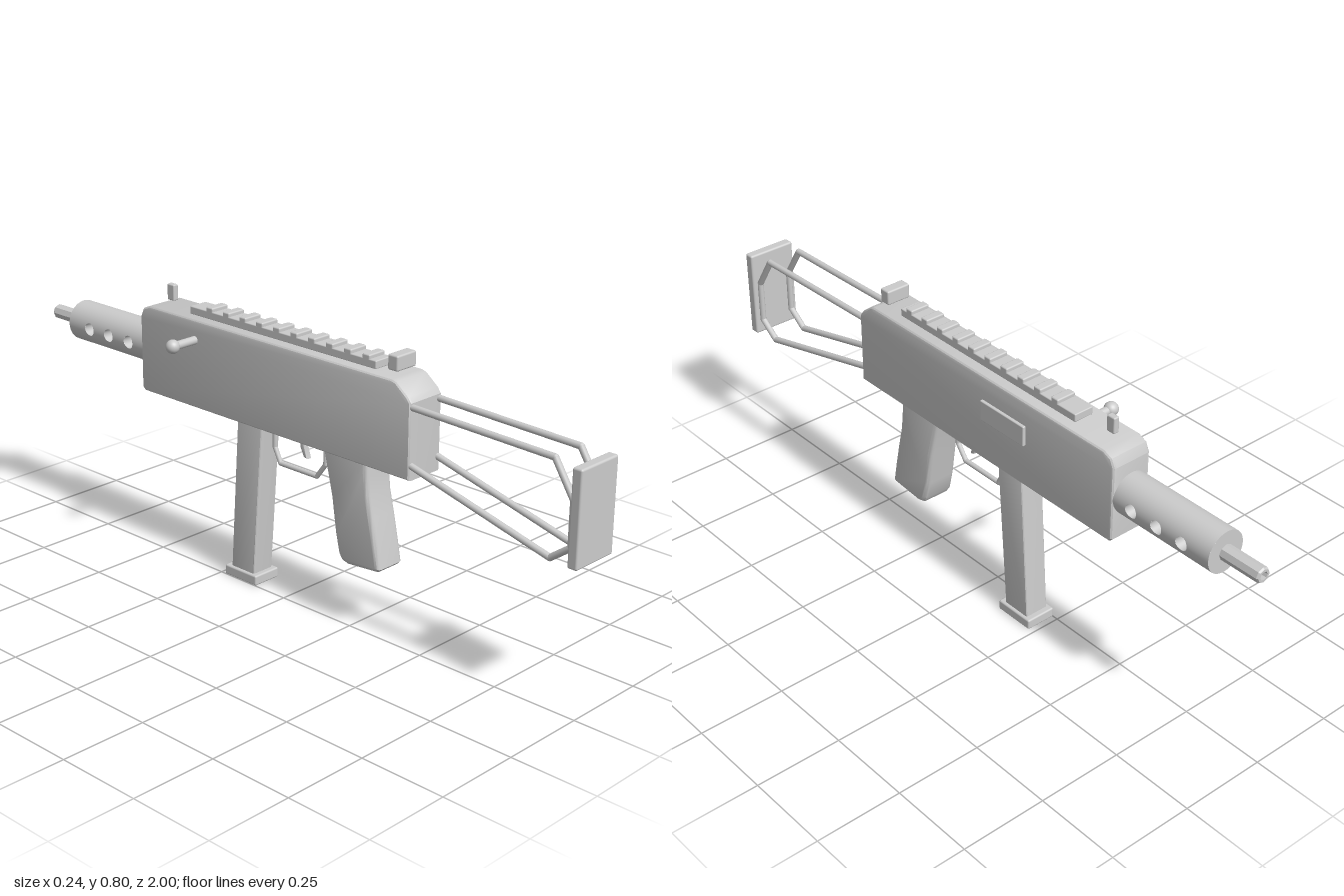
import * as THREE from 'three';
import { toCreasedNormals } from 'three/addons/utils/BufferGeometryUtils.js';
import { RoundedBoxGeometry } from 'three/addons/geometries/RoundedBoxGeometry.js';
import { ParametricGeometry } from 'three/addons/geometries/ParametricGeometry.js';

const CX = 0.045; // centre plane of the gun
const AXIS = 0.614; // height of the bore
const grey = new THREE.MeshStandardMaterial({ color: 0xcccccc });
grey.name = 'grey';

function part(parent, name, geometry, x = 0, y = 0, z = 0) {
  const mesh = new THREE.Mesh(geometry, grey);
  mesh.name = name;
  mesh.position.set(x, y, z);
  parent.add(mesh);
  return mesh;
}

function group(parent, name) {
  const g = new THREE.Group();
  g.name = name;
  parent.add(g);
  return g;
}

// Side profile of [z, y] points, extruded across x with bevelled edges
function slab(points, width, bevel, crease = 0.5) {
  const shape = new THREE.Shape(points.map(([z, y]) => new THREE.Vector2(-z, y)));
  const geo = new THREE.ExtrudeGeometry(shape, {
    depth: width - 2 * bevel, bevelThickness: bevel, bevelSize: bevel,
    bevelOffset: -bevel, bevelSegments: 3, bevelEnabled: bevel > 0,
  });
  geo.translate(0, 0, bevel - width / 2);
  geo.rotateY(Math.PI / 2);
  return toCreasedNormals(geo, crease);
}

// Box given by its y and z limits, centred on the gun
function block(parent, name, width, y0, y1, z0, z1, radius) {
  const geo = new RoundedBoxGeometry(width, y1 - y0, z1 - z0, 2, radius);
  return part(parent, name, geo, CX, (y0 + y1) / 2, (z0 + z1) / 2);
}

// Bent rod through [z, y] points at one x
function rod(parent, name, points, x, r) {
  const g = group(parent, name);
  const v = points.map(([z, y]) => new THREE.Vector3(x, y, z));
  for (let i = 0; i < v.length - 1; i++) {
    const dir = v[i + 1].clone().sub(v[i]);
    const mid = v[i].clone().add(v[i + 1]).multiplyScalar(0.5);
    const m = part(g, name + 'Segment', new THREE.CylinderGeometry(r, r, dir.length(), 10), mid.x, mid.y, mid.z);
    m.quaternion.setFromUnitVectors(new THREE.Vector3(0, 1, 0), dir.normalize());
    if (i > 0) part(g, name + 'Bend', new THREE.SphereGeometry(r, 10, 8), v[i].x, v[i].y, v[i].z);
  }
}

// Round shroud with cross holes running right through it
function shroud(parent) {
  const R = 0.059, S = 0.038, HOLE = 0.019;
  const bounds = [-0.54, -0.658, -0.743, -0.877];
  const holes = [-0.615, -0.702, -0.787];
  const g = group(parent, 'barrelShroud');
  g.position.set(CX, AXIS, 0);
  const length = bounds[0] - bounds[3], mid = (bounds[0] + bounds[3]) / 2;

  // Plain top and bottom arcs
  const t = Math.PI / 2 - Math.asin(S / R);
  for (const start of [-t, Math.PI - t]) {
    const arc = new THREE.CylinderGeometry(R, R, length, 16, 1, true, start, 2 * t);
    part(g, 'shroudArc', arc.rotateX(-Math.PI / 2), 0, 0, mid);
  }
  part(g, 'shroudRearCap', new THREE.CircleGeometry(R, 40), 0, 0, bounds[0]);
  part(g, 'shroudFrontCap', new THREE.CircleGeometry(R, 40).rotateY(Math.PI), 0, 0, bounds[3]);

  holes.forEach((hz, i) => {
    const z0 = bounds[i], z1 = bounds[i + 1];
    const corners = [[z0, -S], [z1, -S], [z1, S], [z0, S], [z0, -S]];
    for (const side of [1, -1]) {
      // Curved panel stretched from a rectangle to the rim of the hole
      const panel = new ParametricGeometry((u, v, out) => {
        const w = (side > 0 ? u : 1 - u) * 4;
        const k = Math.min(3, Math.max(0, Math.floor(w + 1e-9)));
        const f = w - k, a = corners[k], b = corners[k + 1];
        const z = a[0] + (b[0] - a[0]) * f, y = a[1] + (b[1] - a[1]) * f;
        const d = Math.hypot(z - hz, y);
        const pz = z + (hz + (z - hz) / d * HOLE - z) * v;
        const py = y + (y / d * HOLE - y) * v;
        out.set(side * Math.sqrt(R * R - py * py), py, pz);
      }, 40, 6);
      const p = panel.attributes.position, n = panel.attributes.normal;
      for (let j = 0; j < p.count; j++) n.setXYZ(j, p.getX(j) / R, p.getY(j) / R, 0);
      part(g, 'shroudPanel', panel);
    }
    // Wall of the hole, facing inwards
    part(g, 'ventHole', new ParametricGeometry((u, v, out) => {
      const a = u * Math.PI * 2, y = HOLE * Math.sin(a);
      out.set((1 - 2 * v) * Math.sqrt(R * R - y * y), y, hz - HOLE * Math.cos(a));
    }, 32, 1));
  });
}

export function createModel() {
  const model = new THREE.Group();
  model.name = 'submachineGun';

  // Receiver
  part(model, 'receiver', slab([
    [0.461, 0.485], [0.461, 0.695], [0.45, 0.71], [0.41, 0.741], [0.395, 0.745],
    [-0.515, 0.745], [-0.543, 0.733], [-0.555, 0.708], [-0.555, 0.495], [-0.545, 0.485],
  ], 0.125, 0.01), CX);
  part(model, 'ejectionPort', new RoundedBoxGeometry(0.02, 0.06, 0.17, 2, 0.003), 0.106, 0.643, -0.147);

  // Barrel and its vented shroud
  shroud(model);
  const bore = [[0.022, 0], [0.022, 0.12], [0.019, 0.125], [0.012, 0.125], [0.012, 0.07], [0, 0.07]];
  const barrel = new THREE.LatheGeometry(bore.map(([x, y]) => new THREE.Vector2(x, y)), 8);
  part(model, 'barrel', toCreasedNormals(barrel.rotateX(-Math.PI / 2), 0.3), CX, AXIS, -0.875);

  // Top rail and sights
  const rail = group(model, 'topRail');
  block(rail, 'railBase', 0.06, 0.744, 0.767, -0.38, 0.315, 0.003);
  for (let i = 0; i < 10; i++) {
    const z = 0.28 - i * 0.0647;
    block(rail, 'railTooth', 0.06, 0.76, 0.778, z - 0.013, z + 0.013, 0.004);
  }
  block(model, 'rearSight', 0.074, 0.757, 0.799, 0.36, 0.394, 0.005);
  block(model, 'frontSight', 0.018, 0.757, 0.804, -0.497, -0.469, 0.004);

  // Cocking handle
  const handle = group(model, 'cockingHandle');
  part(handle, 'handleRod', new THREE.CylinderGeometry(0.012, 0.012, 0.1, 20).rotateZ(Math.PI / 2), -0.045, 0.686, -0.328);
  part(handle, 'handleKnob', new THREE.SphereGeometry(0.02, 24, 16), -0.1, 0.686, -0.328);

  // Pistol grip
  part(model, 'grip', slab([
    [0.302, 0.5], [0.305, 0.45], [0.311, 0.395], [0.325, 0.335], [0.341, 0.26], [0.353, 0.196],
    [0.345, 0.188], [0.24, 0.179], [0.218, 0.185], [0.206, 0.203], [0.193, 0.26], [0.178, 0.36], [0.145, 0.5],
  ], 0.097, 0.012, 0.6), CX);

  // Trigger and guard
  rod(model, 'triggerGuard', [
    [0.115, 0.49], [0.115, 0.42], [0.083, 0.377], [-0.055, 0.377], [-0.077, 0.42], [-0.077, 0.49],
  ], CX, 0.007);
  part(model, 'trigger', slab([
    [0.043, 0.49], [0.042, 0.455], [0.053, 0.42], [0.04, 0.424], [0.027, 0.45], [0.023, 0.49],
  ], 0.018, 0.003), CX);

  // Magazine
  part(model, 'magazine', slab([
    [-0.092, 0.5], [-0.127, 0.02], [-0.217, 0.02], [-0.187, 0.5],
  ], 0.074, 0.006), CX);
  block(model, 'magazineBase', 0.092, 0, 0.03, -0.234, -0.11, 0.005);

  // Wire stock with butt plate
  const stock = group(model, 'stock');
  for (const side of [1, -1]) {
    rod(stock, 'stockWire', [
      [0.45, 0.683], [0.905, 0.671], [0.965, 0.577], [0.965, 0.455], [0.905, 0.411], [0.45, 0.527],
    ], CX + side * 0.051, 0.009);
  }
  block(stock, 'buttPlate', 0.146, 0.41, 0.67, 0.97, 1.0, 0.006);

  return model;
}
